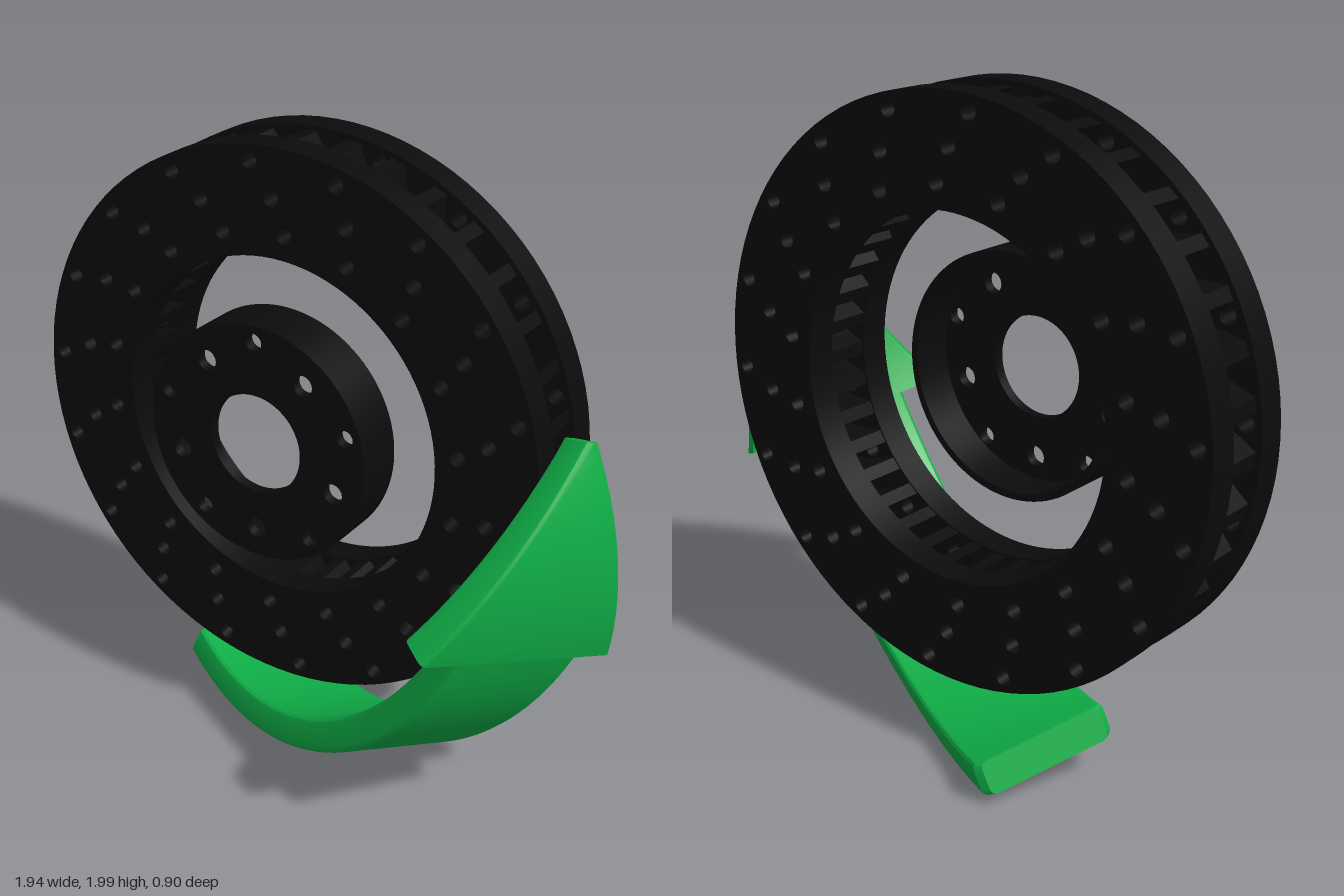
import * as THREE from 'three';
import { toCreasedNormals } from 'three/addons/utils/BufferGeometryUtils.js';

const CX = -0.127, CY = 1.145; // disc axis
const rad = THREE.MathUtils.degToRad;

const polar = (r, deg) => new THREE.Vector2(r * Math.cos(rad(deg)), r * Math.sin(rad(deg)));

function circle(c, r, n) {
  const pts = [];
  for (let i = 0; i < n; i++) pts.push(polar(r, (i * 360) / n).add(c));
  return pts;
}

// Flat ring with round holes, from z0 forward by depth
function ringPlate(rOut, rIn, holes, z0, depth) {
  const o = new THREE.Vector2();
  const shape = new THREE.Shape(circle(o, rOut, 96));
  shape.holes.push(new THREE.Path(circle(o, rIn, 96)));
  for (const h of holes) shape.holes.push(new THREE.Path(circle(h.c, h.r, 16)));
  const geo = new THREE.ExtrudeGeometry(shape, { depth, bevelEnabled: false });
  geo.translate(CX, CY, z0);
  return toCreasedNormals(geo, 0.5);
}

// Swept angle shared by drilled rows and cooling vanes
const sweep = (r) => 87 + (r - 0.608) * 43;

function vaneGeometry() {
  const left = [], right = [], half = 0.02;
  for (let i = 0; i <= 6; i++) {
    const r = 0.54 + (0.3 * i) / 6;
    const d = THREE.MathUtils.radToDeg(half / r);
    left.push(polar(r, sweep(r) + d));
    right.push(polar(r, sweep(r) - d));
  }
  const shape = new THREE.Shape([...right, ...left.reverse()]);
  return new THREE.ExtrudeGeometry(shape, { depth: 0.14, bevelEnabled: false });
}

// Curved arrow: rounded rectangular sections swept round a tilted axis
function arrowGeometry() {
  const axis = new THREE.Vector3(-0.443, 0.264, 0.856).normalize();
  const e1 = new THREE.Vector3(1, 0, 0).addScaledVector(axis, -axis.x).normalize();
  const e2 = new THREE.Vector3().crossVectors(axis, e1);
  const centre = new THREE.Vector3(-0.082, 1.109, -0.383);
  const rMid = 1.032, halfT = 0.052;

  // Stations: angle in degrees and half width
  const stations = [[-113.4, 0.19], [-112.3, 0.21]];
  const base = -27.3, tip = 8;
  for (let i = 1; i <= 32; i++) stations.push([-112.3 + ((base + 112.3) * i) / 32, 0.21]);
  for (let i = 0; i <= 14; i++) {
    const t = i / 14;
    stations.push([base + (tip - base) * t, 0.335 * (1 - t) + 0.02 * t + 0.05 * t * (1 - t)]);
  }

  const pos = [], idx = [], n = 16;
  for (const [deg, half] of stations) {
    const er = e1.clone().multiplyScalar(Math.cos(rad(deg))).addScaledVector(e2, Math.sin(rad(deg)));
    const b = Math.min(0.02, half * 0.9);
    for (let k = 0; k < 4; k++) {
      const sr = k === 0 || k === 3 ? 1 : -1, sw = k < 2 ? 1 : -1;
      for (let j = 0; j < 4; j++) {
        const a = rad(k * 90 + j * 30);
        const p = centre.clone()
          .addScaledVector(er, rMid + sr * (halfT - b) + b * Math.cos(a))
          .addScaledVector(axis, sw * (half - b) + b * Math.sin(a));
        pos.push(p.x, p.y, p.z);
      }
    }
  }
  const last = (stations.length - 1) * n;
  for (let s = 0; s < last; s += n) {
    for (let i = 0; i < n; i++) {
      const p = s + i, q = s + ((i + 1) % n);
      idx.push(p, p + n, q, q, p + n, q + n);
    }
  }
  // End caps
  for (let i = 1; i < n - 1; i++) {
    idx.push(0, i, i + 1, last, last + i + 1, last + i);
  }
  const geo = new THREE.BufferGeometry();
  geo.setAttribute('position', new THREE.Float32BufferAttribute(pos, 3));
  geo.setIndex(idx);
  return toCreasedNormals(geo, 0.4);
}

export function createModel() {
  const group = new THREE.Group();
  const black = new THREE.MeshStandardMaterial({ color: 0x0b0b0b });
  black.name = 'black metal';
  const green = new THREE.MeshStandardMaterial({ color: 0x10b048 });
  green.name = 'arrow green';

  const add = (name, geo, mat, parent = group) => {
    const mesh = new THREE.Mesh(geo, mat);
    mesh.name = name;
    parent.add(mesh);
    return mesh;
  };

  // Two drilled friction plates
  const drilled = [];
  for (let k = 0; k < 18; k++) {
    for (const [r, deg] of [[0.809, 95.7], [0.708, 90.8], [0.608, 87]]) {
      drilled.push({ c: polar(r, deg + k * 20), r: 0.025 });
    }
  }
  add('frontPlate', ringPlate(0.855, 0.535, drilled, -0.09, 0.095), black);
  add('backPlate', ringPlate(0.855, 0.535, drilled, -0.32, 0.095), black);

  // Cooling vanes between the plates
  const vanes = new THREE.Group();
  vanes.name = 'coolingVanes';
  vanes.position.set(CX, CY, -0.227);
  group.add(vanes);
  const vane = vaneGeometry();
  for (let k = 0; k < 36; k++) {
    add('vane', vane, black, vanes).rotation.z = rad(5 + k * 10);
  }

  // Hub: thin drilled face with a short rim behind it
  const bolts = [];
  for (let k = 0; k < 5; k++) {
    bolts.push({ c: polar(0.32, 90 + k * 72), r: 0.027 });
    bolts.push({ c: polar(0.28, -90 + k * 72), r: 0.032 });
  }
  add('hubFace', ringPlate(0.372, 0.155, bolts, 0.08, 0.033), black);
  add('hubRim', ringPlate(0.372, 0.35, [], -0.05, 0.13), black);

  // Direction arrow
  add('rotationArrow', arrowGeometry(), green);
  return group;
}
